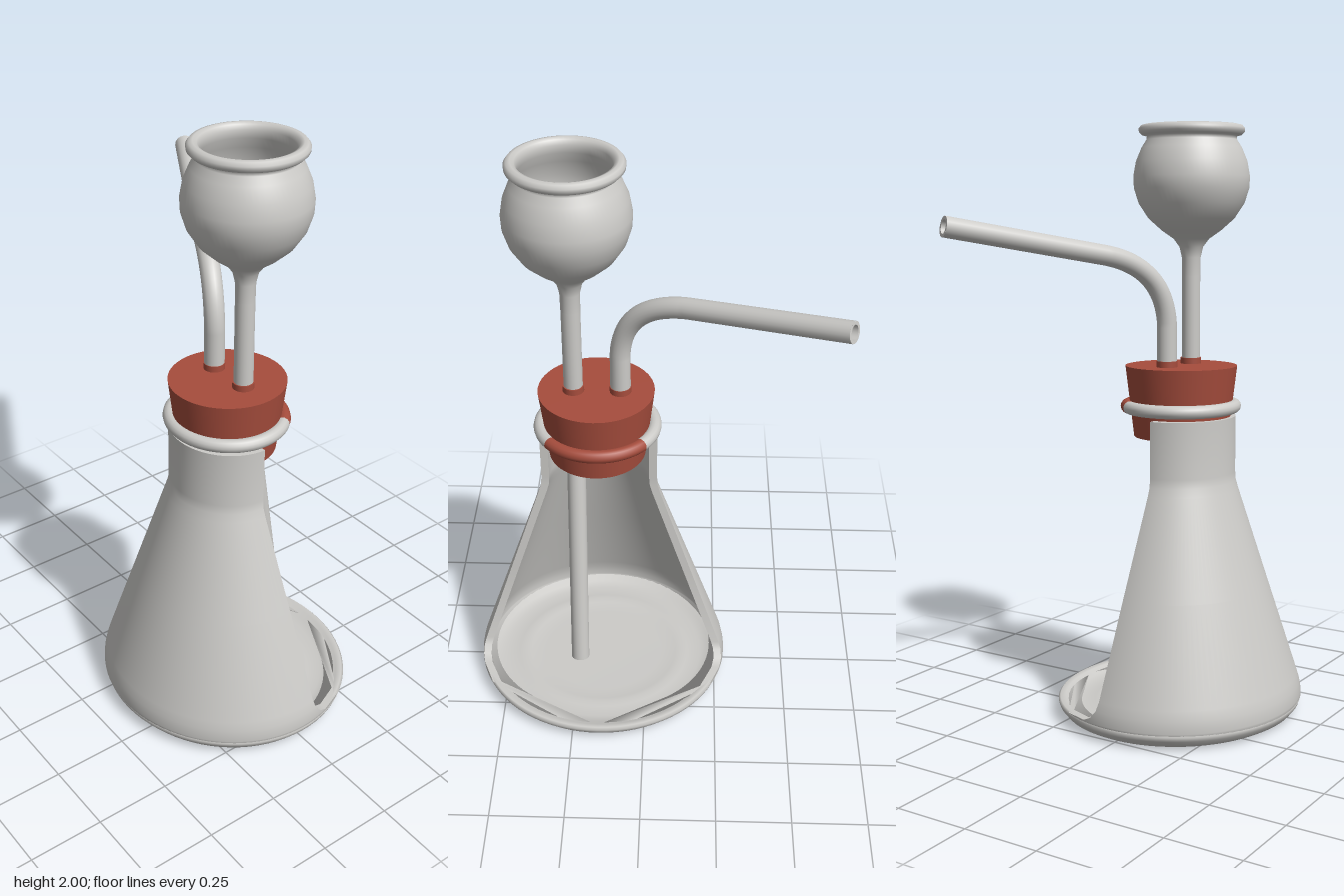
import * as THREE from 'three';
import { ParametricGeometry } from 'three/addons/geometries/ParametricGeometry.js';

const CZ = 0.16;        // flask axis
const OVAL = 1.07;      // flask is slightly deeper than wide
const WALL = 0.025;

// Wall rows: height, outer radius, x of the cutaway edge
const ROWS = [
  [0.045, 0.413, 0.41], [0.054, 0.415, 0.2], [0.06, 0.415, 0.11], [0.075, 0.414, 0.08],
  [0.1, 0.409, 0.06], [0.13, 0.4, 0.052], [0.45, 0.298, 0.028], [0.78, 0.193, 0.002],
  [0.81, 0.185, 0], [0.84, 0.183, 0], [1.03, 0.183, 0],
];

export function createModel() {
  const glass = new THREE.MeshStandardMaterial({ color: 0xcccbc8 });
  glass.name = 'glass grey';
  const rubber = new THREE.MeshStandardMaterial({ color: 0xa64d3d });
  rubber.name = 'rubber red';

  const model = new THREE.Group();
  model.name = 'cutawayFlask';
  const add = (name, geo, mat, parent = model) => {
    const m = new THREE.Mesh(geo, mat);
    m.name = name;
    parent.add(m);
    return m;
  };
  const vec = (a) => new THREE.Vector3(...a);
  const lathe = (pts, seg = 64) => new THREE.LatheGeometry(pts.map((p) => new THREE.Vector2(...p)), seg);

  // Turns a surface inside out
  const flip = (geo) => {
    const idx = geo.index.array;
    for (let i = 0; i < idx.length; i += 3) [idx[i], idx[i + 1]] = [idx[i + 1], idx[i]];
    const n = geo.attributes.normal.array;
    for (let i = 0; i < n.length; i++) n[i] = -n[i];
    return geo;
  };

  // Hollow glass pipe with ring-shaped ends
  const pipe = (name, curve, radius) => {
    const g = new THREE.Group();
    g.name = name;
    model.add(g);
    const bore = radius * 0.68;
    add('pipeOuter', new THREE.TubeGeometry(curve, 64, radius, 20), glass, g);
    add('pipeBore', flip(new THREE.TubeGeometry(curve, 64, bore, 20)), glass, g);
    for (const t of [0, 1]) {
      const end = add('pipeEnd', new THREE.RingGeometry(bore, radius, 20), glass, g);
      const dir = curve.getTangent(t).multiplyScalar(t ? 1 : -1);
      end.quaternion.setFromUnitVectors(new THREE.Vector3(0, 0, 1), dir);
      end.position.copy(curve.getPoint(t));
    }
  };

  // Flask, centred on its own axis
  const flask = new THREE.Group();
  flask.name = 'flask';
  flask.position.z = CZ;
  flask.scale.z = OVAL;
  model.add(flask);

  // Base dish with rolled rim and a faint ring in the floor, open underneath
  add('flaskBase', lathe([
    [0.14, 0], [0.35, 0], [0.375, 0.003], [0.395, 0.014], [0.41, 0.033], [0.415, 0.048],
    [0.408, 0.056], [0.39, 0.053], [0.365, 0.04], [0.335, 0.033], [0.29, 0.034],
    [0.27, 0.039], [0.25, 0.034], [0.2, 0.031], [0, 0.031],
  ], 80), glass, flask);

  // Cut wall: outer skin, inner skin, cut edges and top lip
  const row = (v) => {
    const t = v * (ROWS.length - 1);
    const i = Math.min(Math.floor(t), ROWS.length - 2);
    return ROWS[i].map((a, k) => THREE.MathUtils.lerp(a, ROWS[i + 1][k], t - i));
  };
  const place = (u, v, inset, out) => {
    const [y, r0, cut] = row(v);
    const r = r0 - inset;
    const a = Math.acos(Math.min(1, cut / r));
    const ang = THREE.MathUtils.lerp(a, 2 * Math.PI - a, u);
    out.set(r * Math.cos(ang), y, r * Math.sin(ang));
  };
  const n = ROWS.length - 1;
  const surface = (name, fn, us, vs) => add(name, new ParametricGeometry(fn, us, vs), glass, flask);
  surface('wallOuter', (u, v, p) => place(1 - u, v, 0, p), 64, n);
  surface('wallInner', (u, v, p) => place(u, v, WALL, p), 64, n);
  surface('neckLip', (u, v, p) => place(1 - u, 1, v * WALL, p), 64, 1);
  surface('cutEdgeFront', (u, v, p) => place(0, v, u * WALL, p), 1, n);
  surface('cutEdgeBack', (u, v, p) => place(1, v, (1 - u) * WALL, p), 1, n);

  // Neck ring, with a rubber-coloured stretch on the open side
  const ring = (name, start, arc, mat) => {
    const geo = new THREE.TorusGeometry(0.18, 0.022, 14, 48, arc);
    geo.rotateZ(start);
    geo.rotateX(Math.PI / 2);
    const m = add(name, geo, mat);
    m.position.set(0, 1.063, CZ);
    m.scale.z = 1.04;
  };
  ring('neckRingCovered', -0.9, 1.8, rubber);
  ring('neckRing', 0.9, 2 * Math.PI - 1.8, glass);

  // Stopper
  const stopper = add('stopper', new THREE.CylinderGeometry(0.189, 0.16, 0.24, 64), rubber);
  stopper.position.set(0, 1.08, CZ + 0.002);

  // Thistle funnel: bulb with rolled rim, hollow inside
  const funnel = add('funnelBulb', lathe([
    [0.031, 1.5], [0.032, 1.56], [0.04, 1.595], [0.06, 1.622], [0.1, 1.65], [0.145, 1.69],
    [0.178, 1.74], [0.194, 1.79], [0.196, 1.83], [0.187, 1.88], [0.168, 1.925], [0.152, 1.95],
    [0.15, 1.962], [0.168, 1.966], [0.177, 1.975], [0.178, 1.987], [0.17, 1.997], [0.158, 2],
    [0.146, 1.995], [0.14, 1.98], [0.14, 1.955], [0.158, 1.92], [0.174, 1.87], [0.18, 1.82],
    [0.165, 1.75], [0.135, 1.7], [0.09, 1.66], [0.045, 1.63], [0.022, 1.59], [0.021, 1.5],
  ]), glass);
  funnel.position.set(0.006, 0, 0.235);

  // Funnel stem above, leaning tube below the stopper
  pipe('funnelStem', new THREE.LineCurve3(vec([0.006, 1.15, 0.235]), vec([0.006, 1.58, 0.235])), 0.031);
  pipe('lowerTube', new THREE.LineCurve3(vec([0.042, 1.02, 0.23]), vec([0.173, 0.17, 0.23])), 0.031);

  // Bent delivery tube
  const bend = new THREE.CurvePath();
  const corner = [[0.008, 1.34, 0.083], [0.012, 1.53, 0.072], [0.11, 1.572, -0.12]].map(vec);
  bend.add(new THREE.LineCurve3(vec([0.008, 1.12, 0.083]), corner[0]));
  bend.add(new THREE.QuadraticBezierCurve3(...corner));
  bend.add(new THREE.LineCurve3(corner[2], vec([0.385, 1.665, -0.59])));
  pipe('deliveryTube', bend, 0.033);

  // Rubber collars where the tubes enter the stopper
  for (const [x, z] of [[0.006, 0.235], [0.008, 0.083]]) {
    const collar = add('collar', new THREE.CylinderGeometry(0.035, 0.035, 0.025, 24), rubber);
    collar.position.set(x, 1.208, z);
  }
  return model;
}
